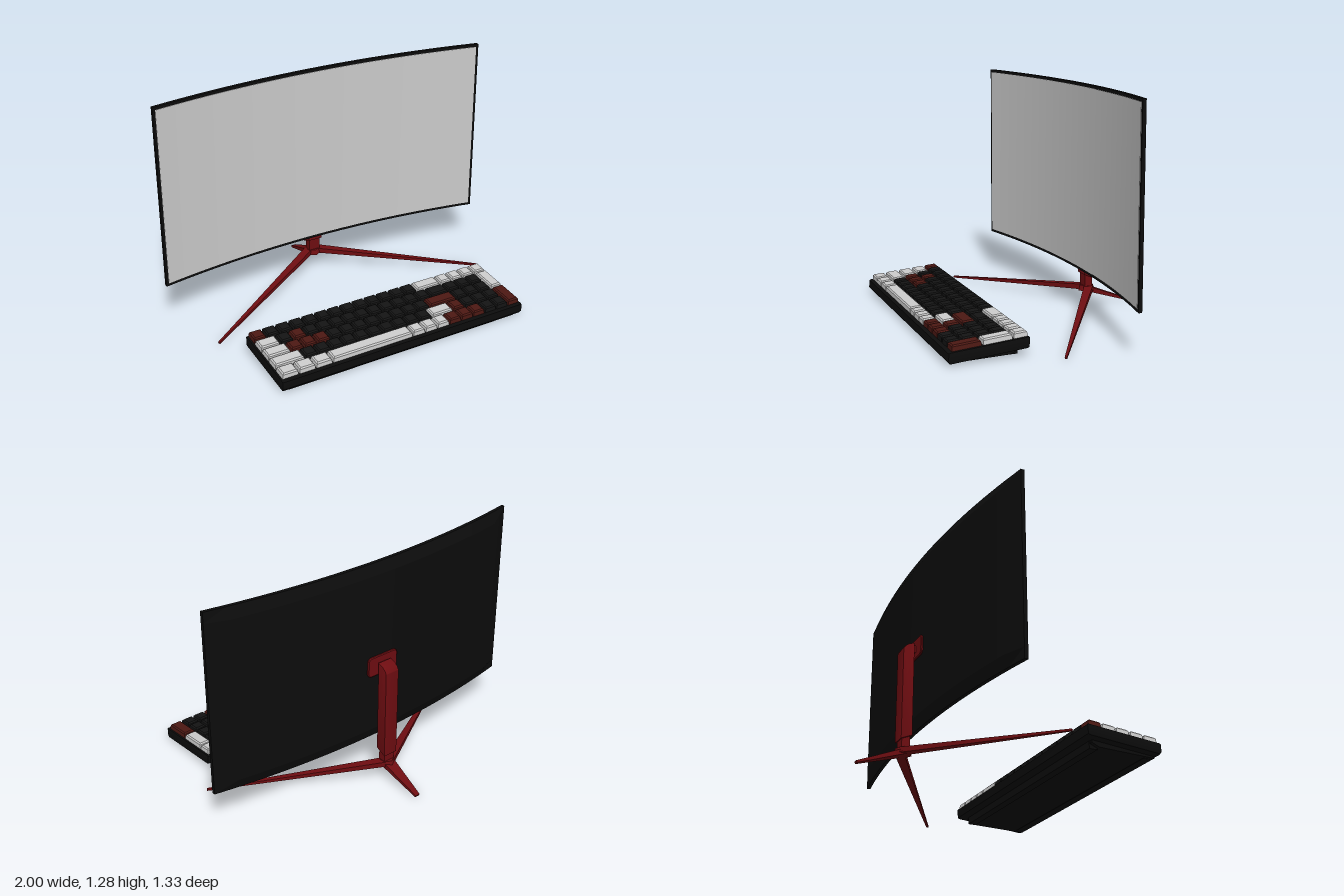
import * as THREE from 'three';
import { toCreasedNormals } from 'three/addons/utils/BufferGeometryUtils.js';

const mat = (color) => new THREE.MeshStandardMaterial({ color, side: THREE.DoubleSide });
const BLACK = mat(0x0c0c0c), KEY = mat(0x141414), RED = mat(0x6e0d11), KEYRED = mat(0x4c1813), GREY = mat(0xcccccc);

function add(parent, name, geometry, material, x = 0, y = 0, z = 0) {
  const mesh = new THREE.Mesh(geometry, material);
  mesh.name = name;
  mesh.position.set(x, y, z);
  parent.add(mesh);
  return mesh;
}

// Skin over matching rings of [x, y, z] points, capped at both ends
function loft(rings) {
  const n = rings[0].length, pos = [];
  const tri = (...pts) => pts.forEach((p) => pos.push(...p));
  for (let i = 0; i < rings.length - 1; i++) {
    for (let j = 0; j < n; j++) {
      const k = (j + 1) % n;
      const a = rings[i][j], b = rings[i][k], c = rings[i + 1][k], d = rings[i + 1][j];
      tri(a, d, c);
      tri(a, c, b);
    }
  }
  const first = rings[0], last = rings[rings.length - 1];
  for (let j = 1; j < n - 1; j++) {
    tri(first[0], first[j], first[j + 1]);
    tri(last[0], last[j + 1], last[j]);
  }
  const geo = new THREE.BufferGeometry();
  geo.setAttribute('position', new THREE.Float32BufferAttribute(pos, 3));
  return toCreasedNormals(geo, 0.2);
}

// Side profile given in (z, y), extruded across x and centred on x = 0
function sideExtrude(shape, width, bevel) {
  const geo = new THREE.ExtrudeGeometry(shape, {
    depth: width - 2 * bevel, bevelEnabled: bevel > 0, bevelSize: bevel, bevelOffset: -bevel,
    bevelThickness: bevel, bevelSegments: 2, curveSegments: 8,
  });
  return geo.translate(0, 0, -(width / 2 - bevel)).rotateY(-Math.PI / 2);
}
const polygon = (pts) => new THREE.Shape(pts.map((p) => new THREE.Vector2(...p)));

// Tapered rectangular bar between two points
function bar(parent, name, from, to, [w0, h0], [w1, h1]) {
  const a = new THREE.Vector3(...from), b = new THREE.Vector3(...to);
  const length = a.distanceTo(b);
  const geo = new THREE.BoxGeometry(1, 1, length);
  const p = geo.attributes.position;
  for (let i = 0; i < p.count; i++) {
    const end = p.getZ(i) > 0;
    p.setX(i, p.getX(i) * (end ? w1 : w0));
    p.setY(i, p.getY(i) * (end ? h1 : h0));
  }
  geo.computeVertexNormals();
  const mesh = add(parent, name, geo, RED, ...a.clone().add(b).multiplyScalar(0.5).toArray());
  mesh.lookAt(b);
}

// Keycap with sloping sides and a chamfered top
function keycap(w, d) {
  const h = 0.036;
  const geo = new THREE.BoxGeometry(1, h, 1, 1, 2, 1);
  const p = geo.attributes.position;
  for (let i = 0; i < p.count; i++) {
    const y = p.getY(i);
    const inset = y > 0.01 ? 0.011 : y > -0.01 ? 0.004 : 0;
    p.setXYZ(i, p.getX(i) * (w - 2 * inset), Math.abs(y) < 0.01 ? 0.011 : y, p.getZ(i) * (d - 2 * inset));
  }
  const flat = geo.toNonIndexed();
  flat.computeVertexNormals();
  return flat.translate(0, h / 2, 0);
}

function createMonitor() {
  const monitor = new THREE.Group();
  monitor.name = 'monitor';
  const frontZ = (x) => -0.312 + 0.1 * x * x;
  const bottom = 0.245, top = 1.28;

  // Curved housing, thinning towards every edge at the back
  const xs = [-1];
  for (let i = 0; i <= 28; i++) xs.push(-0.88 + (1.76 * i) / 28);
  xs.push(1);
  add(monitor, 'housing', loft(xs.map((x) => {
    const z = frontZ(x), edge = z - 0.02, back = z - (Math.abs(x) > 0.9 ? 0.0201 : 0.043);
    return [[x, bottom, z], [x, top, z], [x, top, edge],
      [x, top - 0.06, back], [x, bottom + 0.06, back], [x, bottom, edge]];
  })), BLACK);

  // Display panel just proud of the frame
  const panel = [];
  for (let i = 0; i <= 32; i++) {
    const x = -0.985 + (1.97 * i) / 32, z = frontZ(x);
    panel.push([[x, bottom + 0.016, z + 0.003], [x, top - 0.016, z + 0.003],
      [x, top - 0.016, z - 0.005], [x, bottom + 0.016, z - 0.005]]);
  }
  add(monitor, 'screen', loft(panel), GREY);
  return monitor;
}

function createStand() {
  const stand = new THREE.Group();
  stand.name = 'stand';

  // Upright column with a rounded top
  const side = new THREE.Shape();
  side.moveTo(-0.377, 0.19);
  side.lineTo(-0.377, 0.72);
  side.quadraticCurveTo(-0.42, 0.715, -0.44, 0.678);
  side.lineTo(-0.44, 0.163);
  add(stand, 'column', toCreasedNormals(sideExtrude(side, 0.088, 0.004), 0.5), RED);
  add(stand, 'neck', new THREE.BoxGeometry(0.066, 0.09, 0.045), RED, 0, 0.15, -0.409);

  // Mounting plate with rounded corners
  const w = 0.1, h = 0.058, r = 0.025;
  const outline = new THREE.Shape();
  outline.absarc(w - r, h - r, r, 0, Math.PI / 2);
  outline.absarc(r - w, h - r, r, Math.PI / 2, Math.PI);
  outline.absarc(r - w, r - h, r, Math.PI, Math.PI * 1.5);
  outline.absarc(w - r, r - h, r, Math.PI * 1.5, Math.PI * 2);
  add(stand, 'mountingPlate', new THREE.ExtrudeGeometry(outline, {
    depth: 0.01, bevelSize: 0.005, bevelOffset: -0.005, bevelThickness: 0.004, bevelSegments: 1, curveSegments: 5,
  }), RED, 0, 0.697, -0.36);
  add(stand, 'mountArm', new THREE.BoxGeometry(0.06, 0.04, 0.03), RED, 0, 0.692, -0.37);

  // Hub and three tapering legs
  const hub = new THREE.CylinderGeometry(0.04, 0.05, 0.03, 6);
  add(stand, 'hub', hub.toNonIndexed(), RED, 0, 0.105, -0.412);
  for (const s of [-1, 1]) {
    bar(stand, s > 0 ? 'leftLeg' : 'rightLeg', [s * 0.015, 0.105, -0.42], [s * 0.843, 0.011, 0.098], [0.05, 0.03], [0.012, 0.01]);
  }
  bar(stand, 'backLeg', [0, 0.105, -0.4], [0, 0.01, -0.663], [0.075, 0.03], [0.028, 0.012]);
  return stand;
}

function createKeyboard() {
  const board = new THREE.Group();
  board.name = 'keyboard';
  const cx = -0.007;

  // Wedge case, underside plinth and rear foot
  add(board, 'case', toCreasedNormals(sideExtrude(polygon([
    [0.655, 0.013], [0.667, 0.028], [0.665, 0.07], [0.655, 0.074], [0.25, 0.107], [0.24, 0.1], [0.243, 0.052], [0.255, 0.046],
  ]), 1.49, 0.009), 0.5), BLACK, cx);
  add(board, 'plinth', sideExtrude(polygon([
    [0.648, 0.005], [0.648, 0.03], [0.29, 0.06], [0.29, 0.03], [0.33, 0.012],
  ]), 1.4, 0), BLACK, cx);
  add(board, 'rearFoot', new THREE.BoxGeometry(1.36, 0.045, 0.045), BLACK, cx, 0.027, 0.308);
  add(board, 'frontFoot', new THREE.BoxGeometry(1.36, 0.015, 0.05), BLACK, cx, 0.012, 0.622);

  // Key rows as [material, width in units, count, depth in rows]
  const W = GREY, R = KEYRED, K = KEY;
  const rows = [
    [[R, 1, 1], [K, 1, 12], [W, 2, 1], [W, 1, 4]],
    [[W, 1.5, 1], [K, 1, 1], [R, 1, 1], [K, 1, 10], [K, 1.5, 1], [K, 1, 3], [W, 1, 1, 2]],
    [[W, 1.75, 1], [R, 1, 3], [K, 1, 8], [R, 2.25, 1], [K, 1, 3]],
    [[W, 2.25, 1], [K, 1, 10], [W, 1.75, 1], [R, 1, 1], [K, 1, 3], [R, 1, 1, 2]],
    [[W, 1.25, 3], [W, 6.25, 1], [W, 1, 3], [R, 1, 3], [K, 1, 2]],
  ];
  const unit = 0.0776, pitch = 0.0805, gap = 0.005;
  const keys = new THREE.Group();
  keys.name = 'keys';
  keys.position.set(-0.744, 0.101, 0.246);
  keys.rotation.x = 0.082;
  rows.forEach((row, r) => {
    let u = 0;
    for (const [material, width, count, deep = 1] of row) {
      const geo = keycap(width * unit - gap, deep * pitch - gap);
      for (let i = 0; i < count; i++, u += width) {
        add(keys, 'key', geo, material, (u + width / 2) * unit, 0, (r + deep / 2) * pitch);
      }
    }
  });
  board.add(keys);
  return board;
}

export function createModel() {
  const model = new THREE.Group();
  model.name = 'curvedMonitorAndKeyboard';
  model.add(createMonitor(), createStand(), createKeyboard());
  return model;
}
